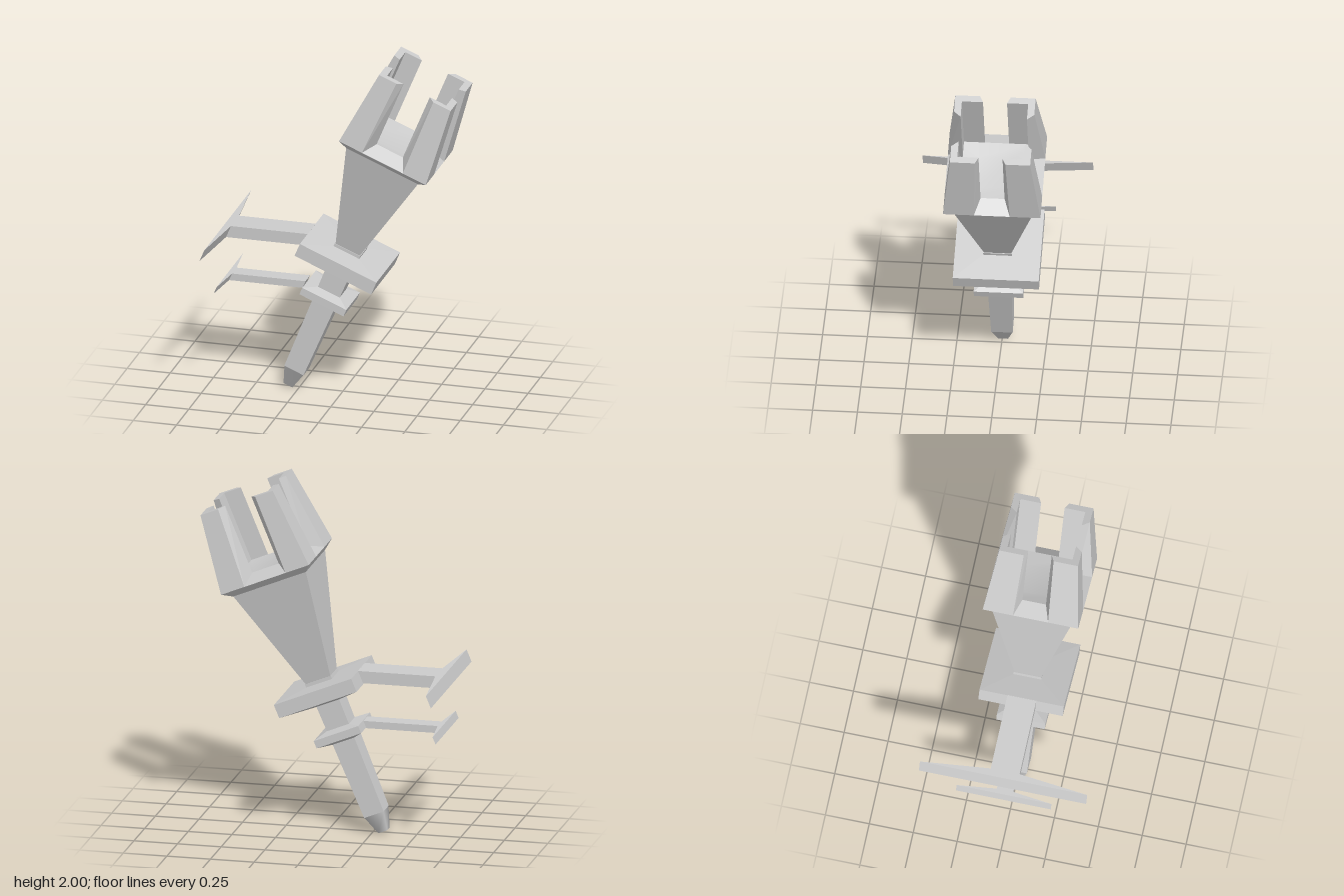
import * as THREE from 'three';
import { mergeVertices } from 'three/addons/utils/BufferGeometryUtils.js';

const material = new THREE.MeshStandardMaterial({ color: 0xcccccc, flatShading: true });
const smoothMaterial = new THREE.MeshStandardMaterial({ color: 0xcccccc });

// Joins rings { y, pts: [[x, z], ...] } (counter-clockwise from above) into a solid.
function loft(rings, bottomCap = true) {
  const pos = [];
  const put = (ring, i) => pos.push(ring.pts[i][0], ring.y, ring.pts[i][1]);
  const n = rings[0].pts.length;
  for (let k = 0; k < rings.length - 1; k++) {
    const lo = rings[k], hi = rings[k + 1];
    for (let i = 0; i < n; i++) {
      const j = (i + 1) % n;
      put(lo, i); put(lo, j); put(hi, j);
      put(lo, i); put(hi, j); put(hi, i);
    }
  }
  const cap = (ring, flip) => {
    const flat = ring.pts.map(([x, z]) => new THREE.Vector2(x, -z));
    for (const [a, b, c] of THREE.ShapeUtils.triangulateShape(flat, [])) {
      put(ring, a); put(ring, flip ? c : b); put(ring, flip ? b : c);
    }
  };
  if (bottomCap) cap(rings[0], true);
  cap(rings[rings.length - 1], false);
  const geo = new THREE.BufferGeometry();
  geo.setAttribute('position', new THREE.Float32BufferAttribute(pos, 3));
  geo.computeVertexNormals();
  return geo;
}

// Square ring of half width h at height y.
const square = (y, h) => ({ y, pts: [[h, h], [h, -h], [-h, -h], [-h, h]] });
const squareLoft = (profile) => loft(profile.map(([y, h]) => square(y, h)));

function add(parent, name, geo, mat = material) {
  const mesh = new THREE.Mesh(geo, mat);
  mesh.name = name;
  parent.add(mesh);
  return mesh;
}

// One corner prong: L-shaped section, tapering upward.
function prong(sx, sz) {
  const inner = 0.185;
  const ring = (y, outer, gapX, gapZ) => {
    const pts = [
      [outer, outer], [outer, gapZ], [inner, 0.067],
      [inner, inner], [0.082, inner], [gapX, outer],
    ].map(([x, z]) => [x * sx, z * sz]);
    return { y, pts: sx * sz < 0 ? pts.reverse() : pts };
  };
  return loft([ring(1.5, 0.272, 0.128, 0.1), ring(1.955, 0.224, 0.115, 0.085)]);
}

// Flat T-shaped handle whose ends lean with the tilted plate.
function handle(y0, y1, end, neck, tip, halfWidth, halfBar) {
  const ring = (y) => {
    const d = (y - y1) * 0.414;
    return {
      y,
      pts: [
        [end, halfWidth], [end, -halfWidth], [neck, -halfWidth],
        [tip, -halfBar], [tip, halfBar], [neck, halfWidth],
      ].map(([x, z]) => [x + d, z]),
    };
  };
  return loft([ring(y0), ring(y1)]);
}

export function createModel() {
  const model = new THREE.Group();
  model.name = 'model';

  // Everything along the main axis leans toward +x
  const tilt = new THREE.Group();
  tilt.name = 'tiltedBody';
  tilt.rotation.z = -Math.PI / 8;
  model.add(tilt);
  const body = new THREE.Group();
  body.name = 'body';
  body.position.set(-0.292, 0, -0.004);
  tilt.add(body);

  // Smoothly shaded foot
  const foot = new THREE.CylinderGeometry(0.059 * Math.SQRT2, 0.028 * Math.SQRT2, 0.113, 4);
  foot.rotateY(Math.PI / 4);
  add(body, 'foot', foot, smoothMaterial).position.y = -0.0535;

  // Stem
  add(body, 'stem', squareLoft([[0.003, 0.06], [0.75, 0.071]]));

  // Plates, swelling toward the stem above and below
  add(body, 'smallPlate', squareLoft([
    [0.455, 0.068], [0.478, 0.138], [0.522, 0.138], [0.538, 0.07],
  ]));
  add(body, 'largePlate', squareLoft([
    [0.688, 0.073], [0.727, 0.24], [0.807, 0.24], [0.812, 0.08],
  ]));
  add(body, 'headCollar', squareLoft([[0.8, 0.08], [0.83, 0.08]]));

  // Flared head with its rim
  add(body, 'head', loft(
    [[0.8, 0.069], [1.46, 0.225], [1.5, 0.272], [1.547, 0.185], [1.515, 0.1]]
      .map(([y, h]) => square(y, h)).slice(0, 4).concat(square(1.51, 0.184))
  ));

  // Shallow smooth bowl between the prongs
  const bowl = loft([square(1.547, 0.185), square(1.525, 0.1)], false);
  bowl.deleteAttribute('normal');
  const smoothBowl = mergeVertices(bowl);
  smoothBowl.computeVertexNormals();
  add(body, 'bowl', smoothBowl, smoothMaterial);

  // Four corner prongs
  for (const sx of [1, -1]) {
    for (const sz of [1, -1]) add(body, 'prong', prong(sx, sz));
  }

  // Level handles reaching out toward -x
  const handles = new THREE.Group();
  handles.name = 'handles';
  handles.position.z = -0.003;
  model.add(handles);
  add(handles, 'largeHandle', handle(0.88, 0.949, -0.181, -0.626, -0.668, 0.082, 0.476));
  add(handles, 'smallHandle', handle(0.61, 0.651, -0.205, -0.63, -0.656, 0.047, 0.27));

  return model;
}
